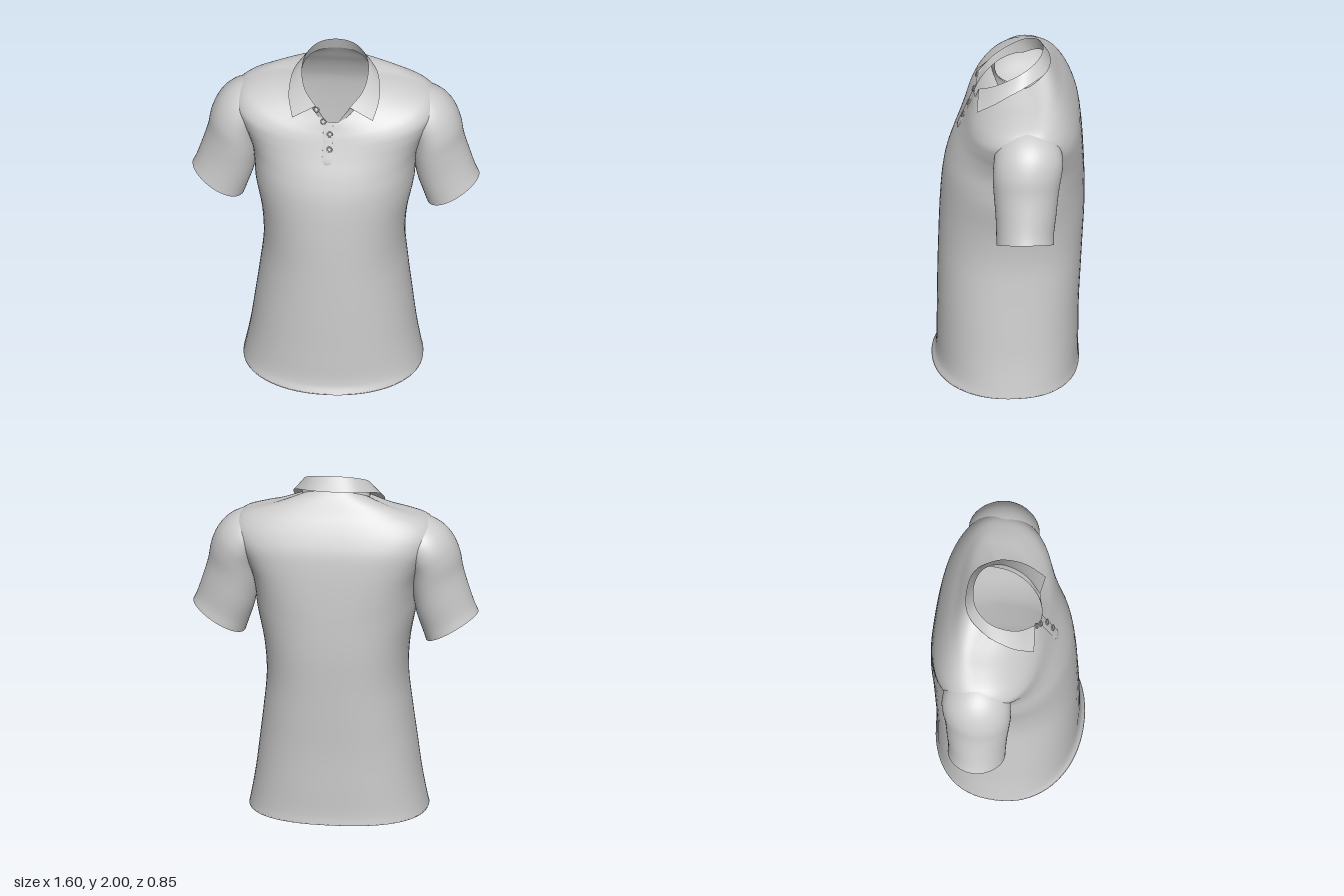
import * as THREE from 'three';

const material = new THREE.MeshStandardMaterial({ color: 0xcccccc, side: THREE.DoubleSide });
const V = (x, y, z) => new THREE.Vector3(x, y, z);

// Skin a list of cross-sections, smoothing along the loft with steps per gap
function loft(sections, closed, steps) {
  const cols = sections[0].length, rows = (sections.length - 1) * steps + 1;
  const pos = [], idx = [];
  const curves = sections[0].map((_, i) => new THREE.CatmullRomCurve3(sections.map((s) => s[i])));
  for (let r = 0; r < rows; r++)
    for (const c of curves) pos.push(...c.getPoint(r / (rows - 1)).toArray());
  for (let r = 0; r < rows - 1; r++)
    for (let i = 0; i < (closed ? cols : cols - 1); i++) {
      const j = (i + 1) % cols, a = r * cols, b = a + cols;
      idx.push(a + i, b + i, a + j, a + j, b + i, b + j);
    }
  const g = new THREE.BufferGeometry();
  g.setAttribute('position', new THREE.Float32BufferAttribute(pos, 3));
  g.setIndex(idx);
  g.computeVertexNormals();
  return g;
}

function add(group, name, geometry) {
  const mesh = new THREE.Mesh(geometry, material);
  mesh.name = name;
  group.add(mesh);
}

// Point on a body ring:
// [half width, side y, side z, front y, front z, back y, back z, front squareness, back squareness]
function bodyPoint([w, ys, zs, yf, zf, yb, zb, nf, nb], a) {
  const c = Math.cos(a), s = Math.sin(a), front = s > 0;
  const e = 2 / (front ? nf : nb), m = Math.abs(s);
  return V(
    Math.sign(c) * w * Math.abs(c) ** e - 0.008 * Math.max(0, 1 - ys / 1.6),
    ys + (front ? (yf - ys) * m * m : (yb - ys) * m),
    zs + ((front ? zf : zb) - zs) * m ** e
  );
}
const flat = (y, w, zs, zf, zb, nf = 2.1, nb = 2.4) => [w, y, zs, y, zf, y, zb, nf, nb];

const bodyRings = [
  flat(0, 0.5, 0.01, 0.43, -0.39),
  flat(0.05, 0.49, 0.01, 0.408, -0.385),
  flat(0.2, 0.463, 0.005, 0.402, -0.387),
  flat(0.4, 0.437, 0, 0.4, -0.39),
  flat(0.6, 0.412, -0.01, 0.397, -0.4),
  flat(0.8, 0.393, -0.02, 0.392, -0.41),
  flat(1.0, 0.405, -0.03, 0.385, -0.42),
  flat(1.2, 0.443, -0.04, 0.37, -0.42),
  flat(1.3, 0.45, -0.05, 0.352, -0.417, 2.2, 2.6),
  flat(1.4, 0.463, -0.07, 0.319, -0.412, 2.3, 2.8),
  [0.5, 1.5, -0.085, 1.49, 0.28, 1.5, -0.404, 2.4, 2.9],
  [0.548, 1.6, -0.09, 1.55, 0.255, 1.6, -0.389, 2.4, 2.9],
  [0.568, 1.675, -0.095, 1.59, 0.239, 1.68, -0.36, 2.4, 2.7],
  [0.53, 1.74, -0.1, 1.62, 0.227, 1.75, -0.325, 2.3, 2.5],
  [0.43, 1.785, -0.12, 1.65, 0.214, 1.81, -0.287, 2.2, 2.4],
  [0.32, 1.815, -0.13, 1.68, 0.202, 1.865, -0.254, 2.1, 2.3],
  [0.19, 1.85, -0.09, 1.7, 0.193, 1.92, -0.218, 2.1, 2.2],
];

// Sleeve sections: outer x, outer y, inner x, inner y, centre z, half depth
const sleeveRings = [
  [0.8, 1.195, 0.508, 1.03, -0.08, 0.16],
  [0.78, 1.24, 0.488, 1.09, -0.08, 0.16],
  [0.75, 1.33, 0.453, 1.2, -0.085, 0.168],
  [0.715, 1.45, 0.432, 1.34, -0.087, 0.18],
  [0.697, 1.55, 0.428, 1.43, -0.092, 0.19],
  [0.661, 1.637, 0.425, 1.47, -0.098, 0.193],
  [0.612, 1.697, 0.42, 1.49, -0.1, 0.19],
  [0.55, 1.737, 0.41, 1.5, -0.1, 0.185],
  [0.46, 1.765, 0.38, 1.5, -0.1, 0.17],
];

// Smooth edge from front left, round the back, to front right
function collarEdge(half, n) {
  const right = half.slice(0, -1).reverse().map(([x, y, z]) => V(-x, y, z));
  return new THREE.CatmullRomCurve3([...half.map((p) => V(...p)), ...right]).getPoints(n);
}

export function createModel() {
  const model = new THREE.Group();
  model.name = 'poloShirt';

  // Body and the flat surface across the hem
  const N = 72;
  const sections = bodyRings.map((r) =>
    Array.from({ length: N }, (_, i) => bodyPoint(r, (i / N) * Math.PI * 2)));
  add(model, 'body', loft(sections, true, 4));
  const base = new THREE.Shape(sections[0].map((p) => new THREE.Vector2(p.x, -p.z)));
  add(model, 'hemBase', new THREE.ShapeGeometry(base).rotateX(-Math.PI / 2).translate(0, 0.004, 0));

  // Sleeves, a little deeper towards the armpit
  for (const side of [1, -1]) {
    const rings = sleeveRings.map(([ox, oy, ix, iy, zc, rz]) =>
      Array.from({ length: 48 }, (_, i) => {
        const a = (i / 48) * Math.PI * 2, c = Math.cos(a) / 2;
        return V(side * ((ox + ix) / 2 + (ox - ix) * c), (oy + iy) / 2 + (oy - iy) * c,
          zc + rz * Math.sin(side * a) * (1 - 0.2 * c));
      }));
    add(model, side > 0 ? 'leftSleeve' : 'rightSleeve', loft(rings, true, 4));
  }

  // Collar: inner stand rising from the neckline and folded outer leaf
  const M = 60;
  const fold = collarEdge([[0.095, 1.79, 0.17], [0.16, 1.845, 0.09], [0.184, 1.9, 0],
    [0.172, 1.95, -0.09], [0.105, 1.988, -0.165], [0, 2, -0.19]], M);
  const leafEdge = collarEdge([[0.225, 1.715, 0.182], [0.252, 1.782, 0.085], [0.25, 1.835, 0],
    [0.225, 1.877, -0.09], [0.13, 1.913, -0.205], [0, 1.92, -0.232]], M);
  const neckline = fold.map((_, i) =>
    bodyPoint(bodyRings.at(-1), THREE.MathUtils.degToRad(80 - (340 * i) / M)));
  const collar = new THREE.Group();
  collar.name = 'collar';
  model.add(collar);
  add(collar, 'collarStand', loft([neckline, fold], false, 4));
  add(collar, 'collarLeaf', loft([leafEdge, fold], false, 4));

  // Button placket laid on the chest
  const chest = [[1.475, 0.286], [1.49, 0.281], [1.55, 0.256], [1.62, 0.228], [1.68, 0.203], [1.705, 0.192]];
  const strip = chest.map(([y, z], i) => {
    const inset = i === 0 ? 0.012 : 0;
    return [V(-0.05 + inset, y, z - 0.006), V(-0.048 + inset, y, z + 0.003),
      V(0.002 - inset, y, z + 0.003), V(0.004 - inset, y, z - 0.006)];
  });
  add(model, 'placket', loft(strip, false, 4));

  // Buttons with raised rims
  for (const [x, y, z] of [[-0.09, 1.772, 0.176], [-0.05, 1.705, 0.194],
    [-0.012, 1.64, 0.223], [-0.012, 1.56, 0.256]]) {
    const button = new THREE.Group();
    button.name = 'button';
    add(button, 'buttonDisc', new THREE.CylinderGeometry(0.015, 0.015, 0.008, 20).rotateX(Math.PI / 2));
    add(button, 'buttonRim', new THREE.TorusGeometry(0.013, 0.004, 8, 20).translate(0, 0, 0.003));
    button.position.set(x, y, z);
    button.rotation.x = -0.42;
    model.add(button);
  }
  return model;
}
